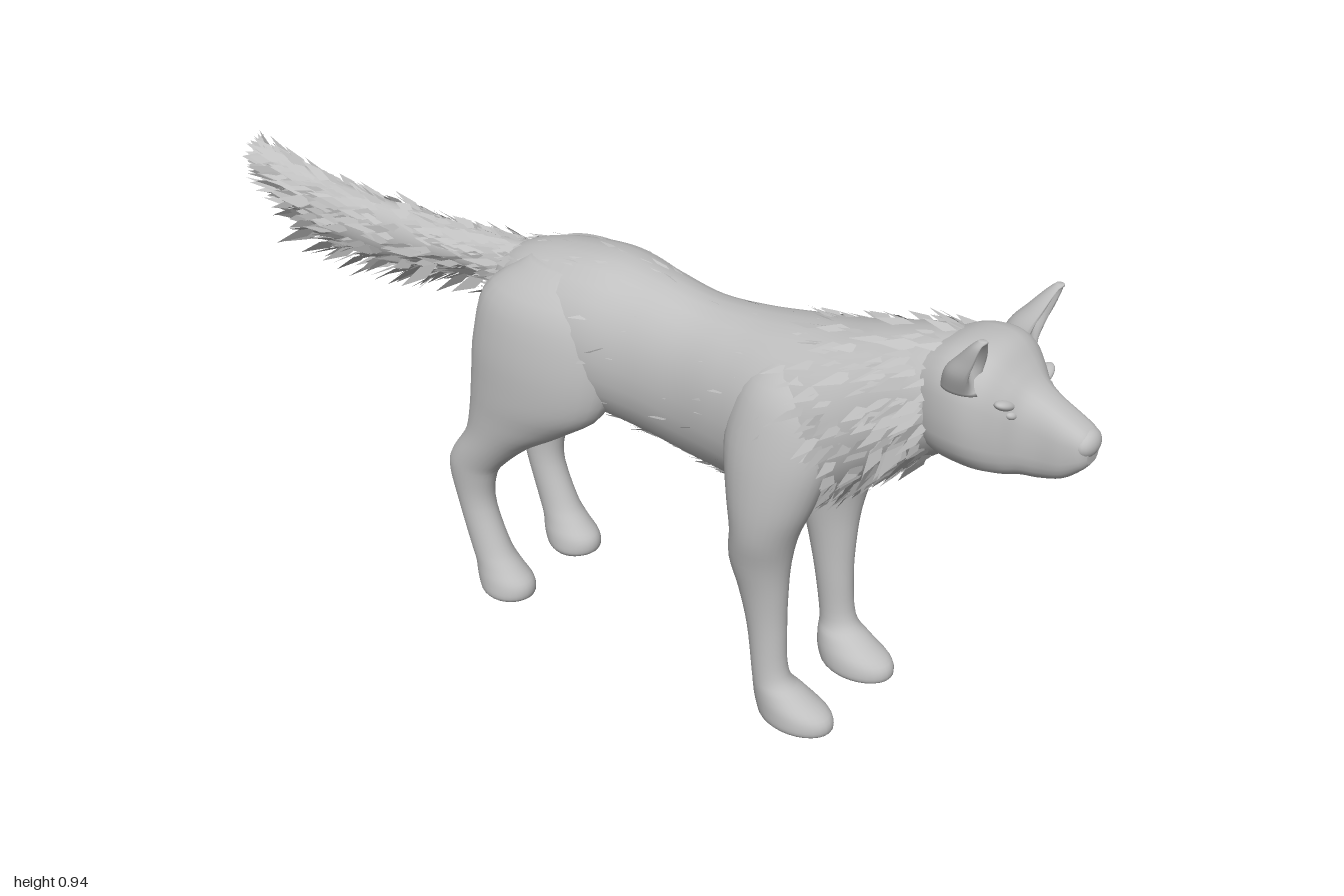
import * as THREE from 'three';

const coat = new THREE.MeshStandardMaterial({ color: 0xc0c0c0, side: THREE.DoubleSide });
coat.name = 'grey coat';

// small seeded generator for the fur
function seeded(seed) {
  return () => {
    seed = (seed * 1664525 + 1013904223) % 4294967296;
    return seed / 4294967296;
  };
}

// smooth interpolation between cross-section rows, u in 0..1
function sampleRow(rows, u) {
  const s = Math.min(u, 0.99999) * (rows.length - 1), i = Math.floor(s), t = s - i;
  const row = (k) => rows[Math.max(0, Math.min(rows.length - 1, k))];
  return rows[0].map((_, c) => {
    const [p, q, r, w] = [row(i - 1)[c], row(i)[c], row(i + 1)[c], row(i + 2)[c]];
    return q + 0.5 * t * (r - p + t * (2 * p - 5 * q + 4 * r - w + t * (3 * (q - r) + w - p)));
  });
}

// point on a lofted surface; row = [t, aMin, aMax, bMin, bMax]
// axis 'z': a = x, b = y.  axis 'y': a = z, b = x
function pointOn(rows, axis, power, u, angle) {
  const [t, a0, a1, b0, b1] = sampleRow(rows, u);
  const bend = (v) => Math.sign(v) * Math.abs(v) ** power;
  const a = (a0 + a1) / 2 + bend(Math.cos(angle)) * (a1 - a0) / 2;
  const b = (b0 + b1) / 2 + bend(Math.sin(angle)) * (b1 - b0) / 2;
  return axis === 'z' ? new THREE.Vector3(a, b, t) : new THREE.Vector3(b, t, a);
}

function loft(name, rows, axis, { power = 1, sides = 28, rings = 48, shape } = {}) {
  const pos = [], index = [];
  for (let i = 0; i <= rings; i++) {
    for (let j = 0; j < sides; j++) {
      const angle = j / sides * Math.PI * 2;
      const p = pointOn(rows, axis, power, i / rings, angle);
      if (shape) shape(p, angle, i / rings);
      pos.push(p.x, p.y, p.z);
    }
  }
  for (let i = 0; i < rings; i++) {
    for (let j = 0; j < sides; j++) {
      const k = (j + 1) % sides, a = i * sides, b = a + sides;
      index.push(a + j, a + k, b + k, a + j, b + k, b + j);
    }
  }
  // closed ends
  for (const end of [0, rings]) {
    const c = pos.length / 3, base = end * sides, sum = [0, 0, 0];
    for (let j = 0; j < sides; j++) for (let n = 0; n < 3; n++) sum[n] += pos[(base + j) * 3 + n] / sides;
    pos.push(...sum);
    for (let j = 0; j < sides; j++) {
      const k = (j + 1) % sides;
      index.push(c, base + (end ? j : k), base + (end ? k : j));
    }
  }
  const geo = new THREE.BufferGeometry();
  geo.setAttribute('position', new THREE.Float32BufferAttribute(pos, 3));
  geo.setIndex(index);
  geo.computeVertexNormals();
  const mesh = new THREE.Mesh(geo, coat);
  mesh.name = name;
  return mesh;
}

// pointed blades of fur that follow a lofted surface
function fur(name, rows, { count, from, to, arc = [0, Math.PI * 2], flow, length, width, lift, seed }) {
  const rand = seeded(seed), pos = [];
  const dir = new THREE.Vector3(...flow);
  for (let n = 0; n < count; n++) {
    const u = from + rand() * (to - from), angle = arc[0] + rand() * (arc[1] - arc[0]);
    const at = (du, da) => pointOn(rows, 'z', 1, u + du, angle + da);
    const p = at(0, 0);
    const normal = at(0, 0.03).sub(p).cross(at(0.005, 0).sub(p)).normalize();
    const d = dir.clone().addScaledVector(normal, -dir.dot(normal)).normalize();
    d.addScaledVector(normal, lift * (0.4 + rand())).normalize();
    const side = new THREE.Vector3().crossVectors(normal, d).normalize();
    side.addScaledVector(normal, (rand() - 0.5) * 1.2).normalize();
    const len = length * (0.6 + 0.7 * rand()), w = width * (0.6 + 0.7 * rand());
    const root = p.clone().addScaledVector(normal, -0.003);
    const mid = root.clone().addScaledVector(d, len * 0.4);
    const l = mid.clone().addScaledVector(side, -w), r = mid.clone().addScaledVector(side, w);
    const tip = root.clone().addScaledVector(d, len);
    for (const v of [root, r, l, l, r, tip]) pos.push(v.x, v.y, Math.max(v.z, -0.995));
  }
  const geo = new THREE.BufferGeometry();
  geo.setAttribute('position', new THREE.Float32BufferAttribute(pos, 3));
  geo.computeVertexNormals();
  const mesh = new THREE.Mesh(geo, coat);
  mesh.name = name;
  return mesh;
}

// [z, top, bottom, half width] to a loft row
const symmetric = ([z, top, bottom, w]) => [z, -w, w, bottom, top];
// swap the x range to the other side of the animal
const sided = (rows, s) => rows.map(([y, z0, z1, x0, x1]) => s > 0 ? [y, z0, z1, x0, x1] : [y, z0, z1, -x1, -x0]);

const bodyRows = [
  [-0.3, 0.70, 0.62, 0.02], [-0.27, 0.74, 0.55, 0.07], [-0.2, 0.775, 0.51, 0.12], [-0.1, 0.797, 0.485, 0.14],
  [0, 0.805, 0.475, 0.14], [0.1, 0.79, 0.46, 0.12], [0.2, 0.775, 0.445, 0.115], [0.3, 0.78, 0.44, 0.13],
  [0.4, 0.795, 0.435, 0.15], [0.5, 0.815, 0.46, 0.15], [0.6, 0.845, 0.54, 0.128], [0.7, 0.87, 0.625, 0.115],
  [0.78, 0.875, 0.67, 0.1],
].map(symmetric);

const headRows = [
  [0.68, 0.85, 0.68, 0.09], [0.74, 0.88, 0.66, 0.115], [0.79, 0.886, 0.655, 0.122], [0.825, 0.876, 0.652, 0.112],
  [0.855, 0.848, 0.652, 0.088], [0.88, 0.825, 0.655, 0.062], [0.91, 0.808, 0.657, 0.048], [0.95, 0.788, 0.67, 0.042],
  [0.98, 0.772, 0.695, 0.034], [0.992, 0.76, 0.71, 0.02],
].map(symmetric);

const tailRows = [
  [-0.97, 0.768, 0.748, 0.01], [-0.9, 0.758, 0.69, 0.028], [-0.8, 0.745, 0.625, 0.04], [-0.65, 0.74, 0.61, 0.045],
  [-0.5, 0.74, 0.63, 0.045], [-0.35, 0.745, 0.655, 0.042], [-0.2, 0.76, 0.63, 0.04],
].map(symmetric);

// leg rows: [y, back z, front z, inner x, outer x]
const frontLegRows = [
  [0, 0.44, 0.565, 0.065, 0.15], [0.012, 0.425, 0.582, 0.056, 0.16], [0.04, 0.415, 0.575, 0.058, 0.16],
  [0.07, 0.412, 0.525, 0.07, 0.155], [0.105, 0.41, 0.485, 0.085, 0.15], [0.2, 0.395, 0.475, 0.082, 0.15],
  [0.28, 0.375, 0.475, 0.078, 0.158], [0.35, 0.355, 0.48, 0.072, 0.172], [0.42, 0.36, 0.495, 0.065, 0.187],
  [0.5, 0.345, 0.525, 0.05, 0.19], [0.6, 0.33, 0.55, 0.03, 0.18], [0.7, 0.35, 0.54, 0.02, 0.152],
  [0.76, 0.39, 0.5, 0.02, 0.1],
];

const hindLegRows = [
  [0, -0.26, -0.17, 0.065, 0.15], [0.012, -0.275, -0.155, 0.058, 0.16], [0.04, -0.285, -0.157, 0.06, 0.158],
  [0.07, -0.29, -0.185, 0.068, 0.152], [0.11, -0.305, -0.215, 0.074, 0.148], [0.2, -0.335, -0.25, 0.076, 0.146],
  [0.27, -0.353, -0.242, 0.075, 0.15], [0.31, -0.345, -0.215, 0.07, 0.152], [0.37, -0.308, -0.15, 0.06, 0.156],
  [0.43, -0.298, -0.06, 0.045, 0.163], [0.5, -0.295, 0.025, 0.025, 0.171], [0.6, -0.29, 0.05, 0.01, 0.17],
  [0.7, -0.265, 0.035, 0.01, 0.148], [0.77, -0.18, -0.02, 0.01, 0.09],
];

const earRows = [
  [0.825, 0.75, 0.825, 0.072, 0.122], [0.865, 0.762, 0.842, 0.076, 0.138], [0.9, 0.79, 0.85, 0.092, 0.142],
  [0.93, 0.815, 0.85, 0.112, 0.143], [0.945, 0.83, 0.845, 0.125, 0.137],
];

function ball(name, x, y, z, sx, sy, sz, tilt = 0) {
  const mesh = new THREE.Mesh(new THREE.SphereGeometry(1, 20, 14), coat);
  mesh.name = name;
  mesh.position.set(x, y, z);
  mesh.scale.set(sx, sy, sz);
  mesh.rotation.z = tilt;
  return mesh;
}

export function createModel() {
  const model = new THREE.Group();
  model.name = 'wolf';

  // torso, head and tail
  model.add(
    loft('torso', bodyRows, 'z', { rings: 72, power: 0.95 }),
    loft('head', headRows, 'z', { power: 0.75 }),
    ball('nose', 0, 0.745, 0.978, 0.034, 0.026, 0.022),
    loft('tail', tailRows, 'z'),
  );

  // paired parts; the front of each ear is hollowed
  for (const s of [1, -1]) {
    const side = s > 0 ? 'left' : 'right';
    const cup = (p, angle, u) => {
      const front = Math.max(0, Math.cos(angle));
      p.z -= 0.05 * front ** 3 * Math.sin(Math.PI * Math.min(1, u * 1.1));
    };
    model.add(
      loft(side + 'FrontLeg', sided(frontLegRows, s), 'y'),
      loft(side + 'HindLeg', sided(hindLegRows, s), 'y'),
      loft(side + 'Ear', sided(earRows, s), 'y', { rings: 20, shape: cup }),
      ball(side + 'Brow', s * 0.066, 0.803, 0.855, 0.03, 0.01, 0.016, s * 0.35),
      ball(side + 'Eye', s * 0.062, 0.785, 0.866, 0.014, 0.008, 0.01, s * 0.35),
    );
  }

  // fur
  const full = Math.PI * 2;
  model.add(
    fur('backFur', bodyRows, { count: 320, from: 0.12, to: 0.75, flow: [0, -0.35, -1], length: 0.05, width: 0.005, lift: 0.1, seed: 3 }),
    fur('ruffFur', bodyRows, { count: 330, from: 0.72, to: 0.96, flow: [0, -0.8, -0.8], length: 0.07, width: 0.01, lift: 0.22, seed: 11 }),
    fur('chestFur', bodyRows, { count: 130, from: 0.68, to: 0.94, arc: [Math.PI * 1.1, Math.PI * 1.9], flow: [0, -1, -0.5], length: 0.085, width: 0.013, lift: 0.25, seed: 23 }),
    fur('bellyFur', bodyRows, { count: 110, from: 0.4, to: 0.7, arc: [Math.PI * 1.25, Math.PI * 1.75], flow: [0, -0.3, -1], length: 0.055, width: 0.007, lift: 0.2, seed: 31 }),
    fur('rumpFur', bodyRows, { count: 60, from: 0.06, to: 0.17, arc: [0, Math.PI], flow: [0, -0.2, -1], length: 0.06, width: 0.008, lift: 0.15, seed: 41 }),
    fur('tailFur', tailRows, { count: 620, from: 0.03, to: 0.98, arc: [0, full], flow: [0, -0.1, -1], length: 0.075, width: 0.011, lift: 0.22, seed: 53 }),
    fur('tailFringe', tailRows, { count: 150, from: 0.15, to: 0.95, arc: [Math.PI * 1.2, Math.PI * 1.8], flow: [0, -0.4, -1], length: 0.1, width: 0.012, lift: 0.5, seed: 67 }),
  );
  return model;
}
